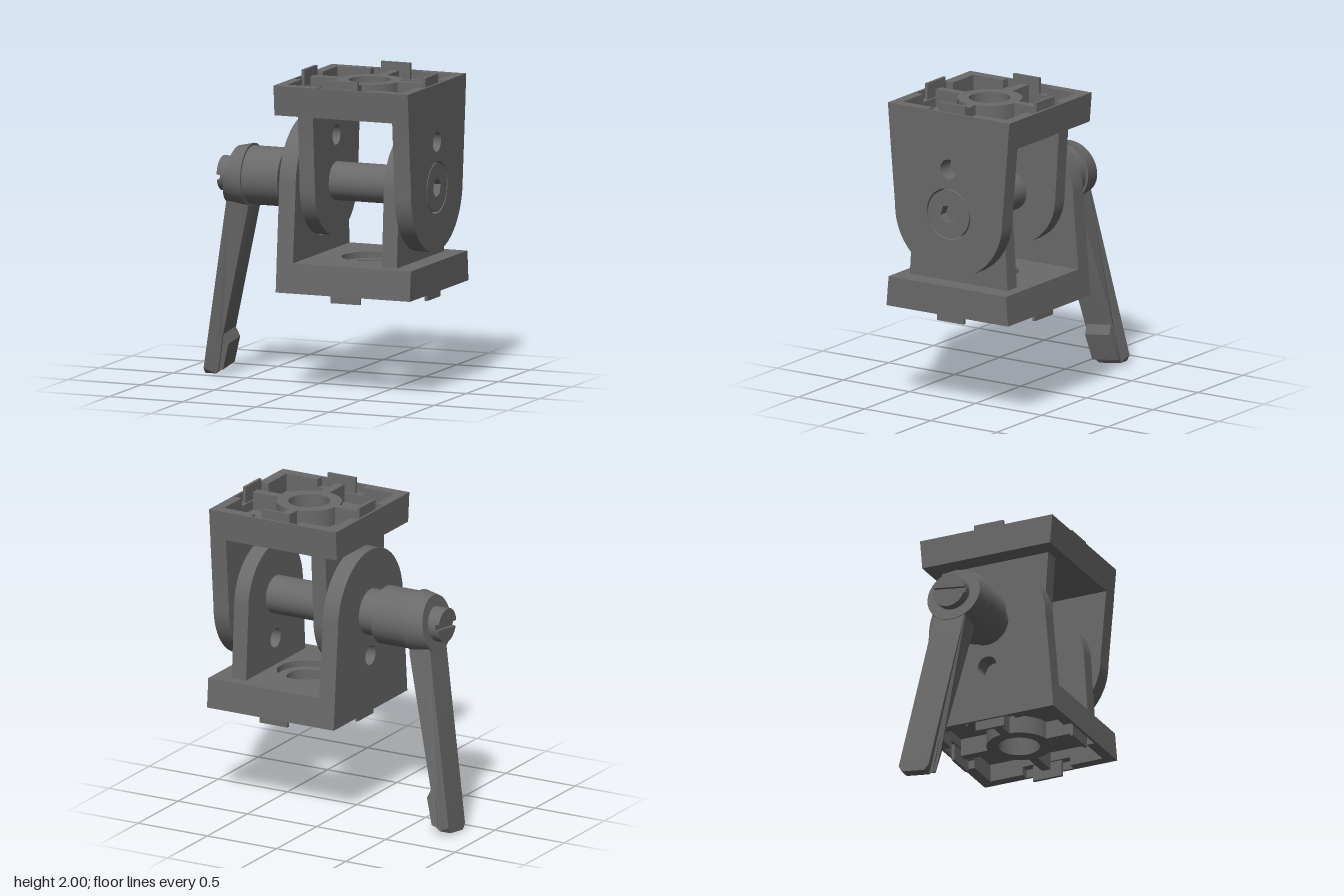
import * as THREE from 'three';
import { toCreasedNormals } from 'three/addons/utils/BufferGeometryUtils.js';

const castGrey = new THREE.MeshStandardMaterial({ color: 0x6a6a6a });
castGrey.name = 'cast grey';

function add(parent, name, geometry) {
  const mesh = new THREE.Mesh(geometry, castGrey);
  mesh.name = name;
  parent.add(mesh);
  return mesh;
}

const polygon = (pts) => new THREE.Shape(pts.map(([x, y]) => new THREE.Vector2(x, y)));
const circle = (x, y, r) => new THREE.Path().absarc(x, y, r, 0, Math.PI * 2, true);
const rect = (x0, x1, h) => polygon([[x0, -h], [x1, -h], [x1, h], [x0, h]]);

function extrude(shape, depth) {
  return new THREE.ExtrudeGeometry(shape, { depth, bevelEnabled: false, curveSegments: 32 });
}

// Shape drawn across (z, y), extruded from x0 to x1
function alongX(shape, x0, x1) {
  return toCreasedNormals(extrude(shape, x1 - x0).rotateY(Math.PI / 2).translate(x0, 0, 0), 0.5);
}

// Shape drawn across (x, z), extruded from y0 to y1
function alongY(shape, y0, y1) {
  return toCreasedNormals(extrude(shape, y1 - y0).rotateX(-Math.PI / 2).translate(0, y0, 0), 0.5);
}

// Round part on the x axis, radius r0 at x0 and r1 at x1
function rod(x0, x1, r0, r1 = r0) {
  return new THREE.CylinderGeometry(r0, r1, x1 - x0, 48).rotateZ(Math.PI / 2).translate((x0 + x1) / 2, 0, 0);
}

function reshape(geometry, rule) {
  const p = geometry.attributes.position;
  const v = new THREE.Vector3();
  for (let i = 0; i < p.count; i++) {
    rule(v.fromBufferAttribute(p, i));
    p.setXYZ(i, v.x, v.y, v.z);
  }
  return toCreasedNormals(geometry, 0.5);
}

// Arm with a rounded end about the pivot and a locating hole
function armShape(width, r, pivotHole) {
  const s = new THREE.Shape();
  s.moveTo(-width, 0.465);
  s.lineTo(-r, 0);
  s.absarc(0, 0, r, Math.PI, Math.PI * 2, false);
  s.lineTo(width, 0.465);
  s.closePath();
  s.holes.push(circle(0, 0.29, 0.063));
  if (pivotHole) s.holes.push(circle(0, 0, pivotHole));
  return s;
}

// Fork bracket around the pivot at its origin, plate upwards
function makeBracket(name, pivotHole) {
  const g = new THREE.Group();
  g.name = name;
  add(g, 'outerArm', alongX(armShape(0.445, 0.405, pivotHole), 0.338, 0.45));
  add(g, 'innerArm', alongX(armShape(0.37, 0.34), -0.338, -0.235));

  // Plate in layers: counterbored floor, floor, rim, notched rim; the z sides taper
  const cx = -0.0075, p = 0.39, n = 0.442, w = 0.165;
  const notched = polygon([
    [-p, -p], [-w, -p], [-w, -n], [w, -n], [w, -p], [p, -p], [p, -w], [n, -w], [n, w], [p, w],
    [p, p], [w, p], [w, n], [-w, n], [-w, p], [-p, p], [-p, w], [-n, w], [-n, -w], [-p, -w],
  ]);
  const layers = [
    ['plateCounterbore', 0.465, 0.505, circle(0, 0, 0.19)],
    ['plateFloor', 0.505, 0.54, circle(0, 0, 0.13)],
    ['plateRim', 0.54, 0.6, rect(-p, p, p)],
    ['plateNotchedRim', 0.6, 0.655, notched],
  ];
  for (const [part, y0, y1, hole] of layers) {
    const s = rect(-0.4575, 0.4575, 0.46);
    s.holes.push(hole);
    const geo = reshape(alongY(s, y0, y1), (v) => {
      if (Math.abs(v.z) > 0.45) v.z = Math.sign(v.z) * (0.405 + 0.055 * v.y / 0.655);
    });
    add(g, part, geo).position.x = cx;
  }

  // Hub ring with four ribs and four locating tabs
  const ring = new THREE.Shape().absarc(0, 0, 0.205, 0, Math.PI * 2, false);
  ring.holes.push(circle(0, 0, 0.13));
  add(g, 'hubRing', alongY(ring, 0.54, 0.655)).position.x = cx;
  for (let i = 0; i < 4; i++) {
    const side = new THREE.Group();
    side.name = 'plateSide';
    side.position.x = cx;
    side.rotation.y = i * Math.PI / 2;
    add(side, 'rib', alongY(rect(0.195, p, 0.03), 0.54, 0.655));
    add(side, 'locatingTab', alongY(rect(0.402, 0.422, 0.1), 0.6, 0.705));
    g.add(side);
  }
  g.position.set(0.35, 1.295, 0);
  return g;
}

function makeHandle() {
  const g = new THREE.Group();
  g.name = 'clampHandle';
  add(g, 'collar', rod(-0.22, -0.1, 0.147));
  add(g, 'handleSleeve', rod(-0.46, -0.21, 0.185));
  // Tapered hub with a slanted outer face
  add(g, 'handleHub', reshape(rod(-0.58, -0.455, 0.18, 0.2).toNonIndexed(), (v) => {
    if (v.x < -0.57) v.x += v.y * 0.17;
  }));

  // Lever with a narrowed tip
  const lever = polygon([
    [-0.57, 0], [-0.602, -0.16], [-0.817, -1.255], [-0.82, -1.293], [-0.745, -1.293],
    [-0.715, -1.255], [-0.675, -1.04], [-0.455, -0.19], [-0.46, 0],
  ]);
  add(g, 'lever', reshape(extrude(lever, 0.21).translate(0, 0, -0.105), (v) => {
    if (v.y < -1.27) v.z *= 0.75;
  }));
  const pad = polygon([[-0.7, -1.03], [-0.67, -1.03], [-0.643, -1.09], [-0.69, -1.26], [-0.735, -1.27]]);
  add(g, 'thumbPad', extrude(pad, 0.186).translate(0, 0, -0.093));

  // Screw head split by a slot
  add(g, 'slottedScrew', rod(-0.632, -0.5, 0.11));
  const a = 0.16;
  for (const turn of [0, Math.PI]) {
    const half = new THREE.Shape().absarc(0, 0, 0.11, a + turn, Math.PI - a + turn, false);
    add(g, 'screwHeadHalf', alongX(half, -0.655, -0.63));
  }
  g.position.y = 1.295;
  g.rotation.x = 0.13;
  return g;
}

export function createModel() {
  const model = new THREE.Group();
  model.name = 'swivelClampJoint';

  model.add(makeBracket('upperBracket', 0.165));
  const lower = makeBracket('lowerBracket', 0);
  lower.rotation.z = Math.PI;
  model.add(lower);

  // Pivot shaft and flush socket screw
  const pivot = new THREE.Group();
  pivot.name = 'pivot';
  pivot.position.y = 1.295;
  add(pivot, 'shaft', rod(0.05, 0.74, 0.122));
  const head = new THREE.Shape().absarc(0, 0, 0.155, 0, Math.PI * 2, false);
  const hex = [];
  for (let i = 0; i < 6; i++) {
    const t = i * Math.PI / 3 + 0.2;
    hex.push([0.062 * Math.cos(t), 0.062 * Math.sin(t)]);
  }
  head.holes.push(polygon(hex));
  add(pivot, 'socketScrewHead', alongX(head, 0.69, 0.8));
  model.add(pivot);

  model.add(makeHandle());
  return model;
}
